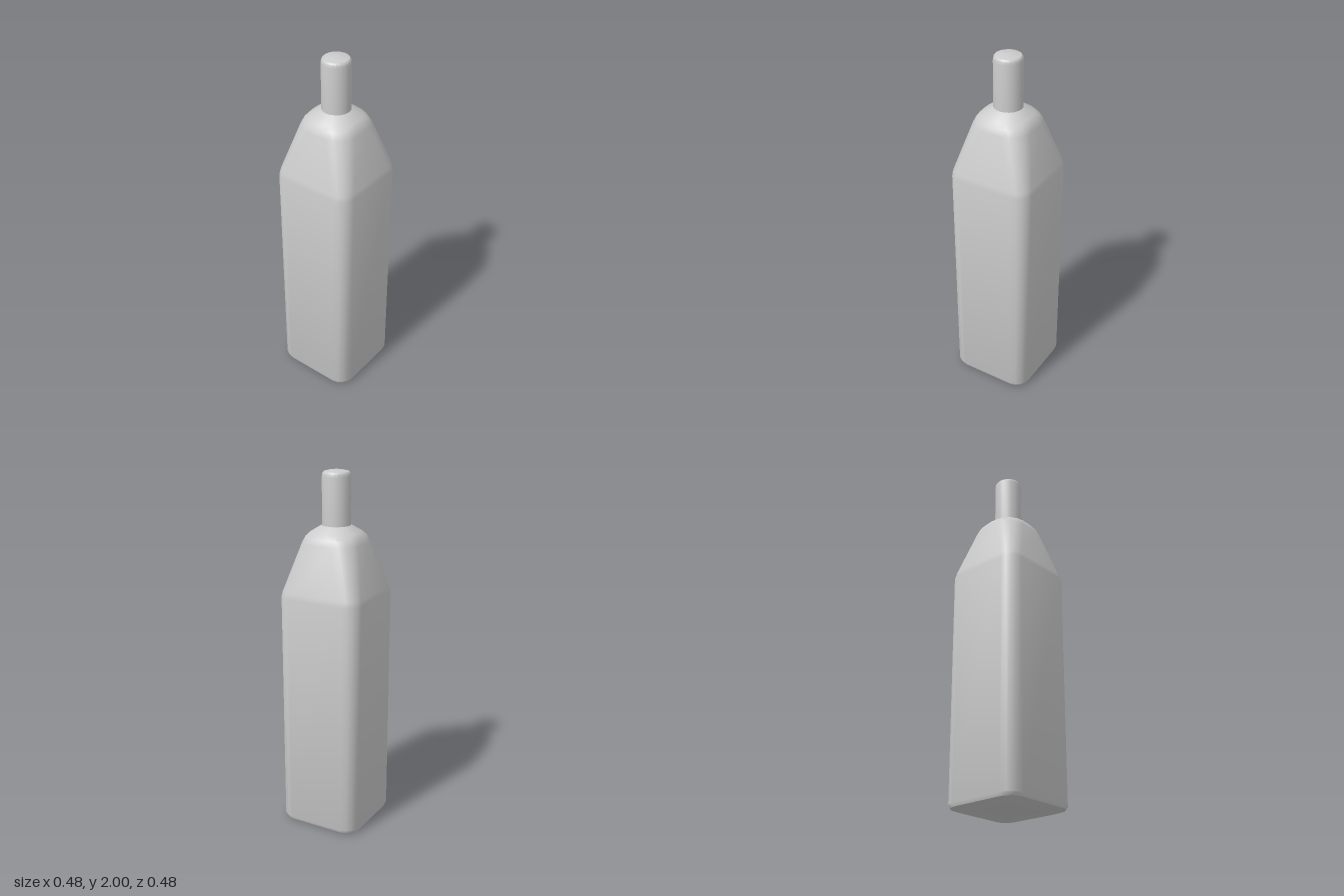
import * as THREE from 'three';
import { toCreasedNormals } from 'three/addons/utils/BufferGeometryUtils.js';

const CORNER_STEPS = 4;

// Rounded-square outline: half width w, corner radius r, at height y
function ring(w, r, y) {
  const points = [];
  for (let c = 0; c < 4; c++) {
    const mid = (c + 0.5) * Math.PI / 2;
    const cx = Math.sign(Math.cos(mid)) * (w - r);
    const cz = Math.sign(Math.sin(mid)) * (w - r);
    for (let i = 0; i <= CORNER_STEPS; i++) {
      const a = (c + i / CORNER_STEPS) * Math.PI / 2;
      points.push([cx + r * Math.cos(a), y, cz + r * Math.sin(a)]);
    }
  }
  return points;
}

// Skin a stack of rings from bottom to top and close both ends
function loft(sections) {
  const rings = sections.map(([w, r, y]) => ring(w, r, y));
  const n = rings[0].length;
  const positions = rings.flat(2);
  const index = [];
  for (let k = 0; k < rings.length - 1; k++) {
    for (let i = 0; i < n; i++) {
      const j = (i + 1) % n;
      const a = k * n + i, b = k * n + j, c = a + n, d = b + n;
      index.push(a, c, b, b, c, d);
    }
  }
  const bottom = rings.length * n;
  positions.push(0, sections[0][2], 0, 0, sections[sections.length - 1][2], 0);
  const last = (rings.length - 1) * n;
  for (let i = 0; i < n; i++) {
    const j = (i + 1) % n;
    index.push(bottom, i, j, bottom + 1, last + j, last + i);
  }
  const geometry = new THREE.BufferGeometry();
  geometry.setAttribute('position', new THREE.Float32BufferAttribute(positions, 3));
  geometry.setIndex(index);
  return geometry;
}

export function createModel() {
  const group = new THREE.Group();
  group.name = 'bottle';
  const material = new THREE.MeshStandardMaterial({ color: 0xcccccc });

  const add = (name, geometry, crease) => {
    const mesh = new THREE.Mesh(toCreasedNormals(geometry, crease), material);
    mesh.name = name;
    group.add(mesh);
  };

  // Square body with softened edges, tapering to a round shoulder
  add('body', loft([
    [0.215, 0.07, 0],
    [0.233, 0.08, 0.007],
    [0.24, 0.08, 0.025],
    [0.24, 0.08, 1.33],
    [0.234, 0.08, 1.36],
    [0.163, 0.105, 1.62],
    [0.152, 0.115, 1.652],
    [0.132, 0.115, 1.675],
    [0.078, 0.078, 1.71],
  ]), 0.5);

  // Round neck with a bevelled, slightly domed top
  const neckProfile = [
    [0.078, 1.7], [0.078, 1.965], [0.075, 1.982], [0.068, 1.99], [0.04, 1.997], [0, 2],
  ].map(([x, y]) => new THREE.Vector2(x, y));
  add('neck', new THREE.LatheGeometry(neckProfile, 20), 0.6);

  return group;
}
